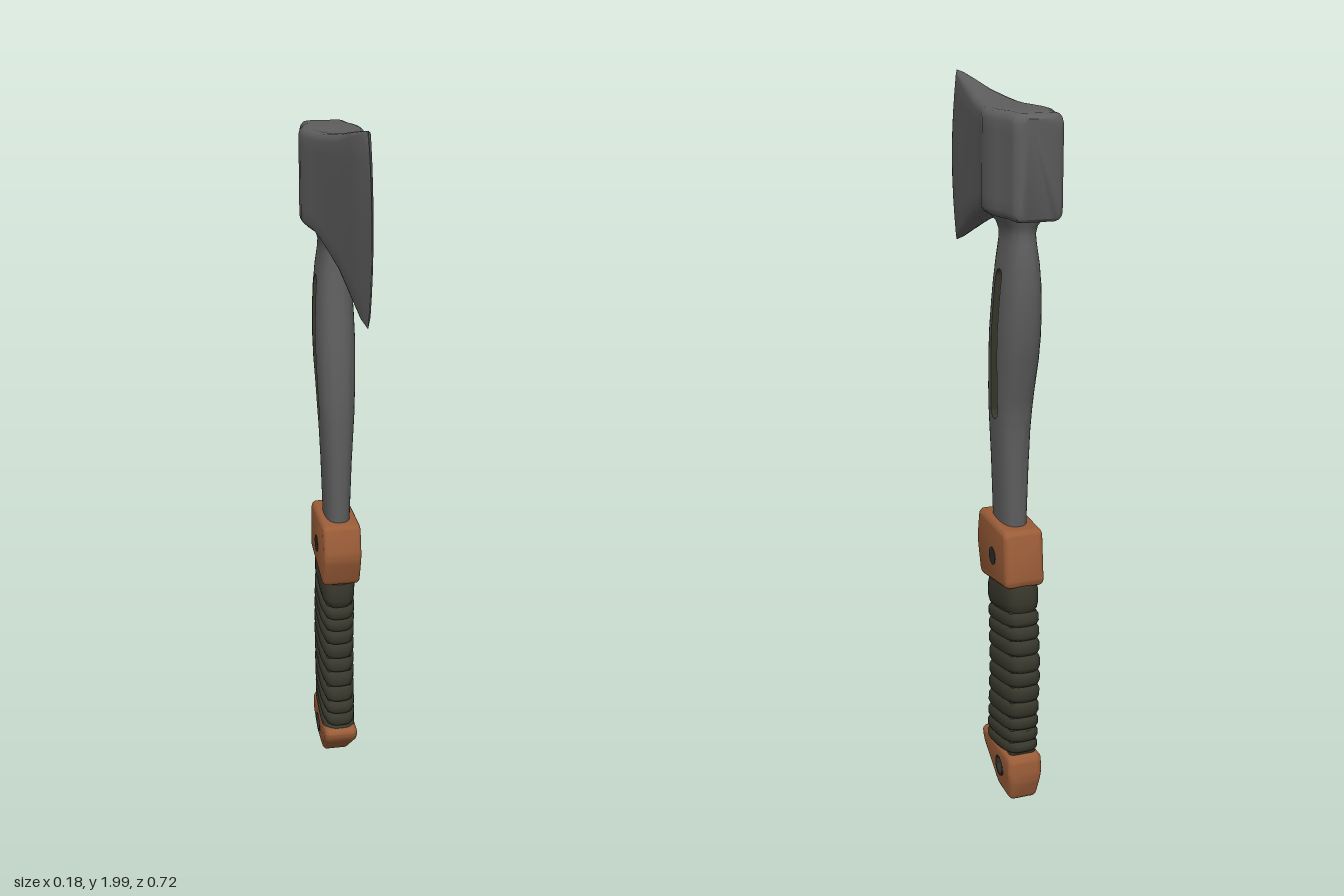
import * as THREE from 'three';
import { toCreasedNormals } from 'three/addons/utils/BufferGeometryUtils.js';

const material = (name, color) => {
  const m = new THREE.MeshStandardMaterial({ color });
  m.name = name;
  return m;
};

// Piecewise linear lookup in [[key, value...], ...]
function lookup(table, k, col = 1) {
  if (k <= table[0][0]) return table[0][col];
  for (let i = 1; i < table.length; i++) {
    const a = table[i - 1], b = table[i];
    if (k <= b[0]) return a[col] + (b[col] - a[col]) * (k - a[0]) / (b[0] - a[0]);
  }
  return table[table.length - 1][col];
}

// Skin through rows of points; closed rows wrap round and get end caps
function loft(rows, closed, crease = 0.75) {
  const n = rows[0].length, idx = [];
  const last = (rows.length - 1) * n;
  for (let i = 0; i < rows.length - 1; i++) {
    for (let j = 0; j < (closed ? n : n - 1); j++) {
      const a = i * n + j, b = i * n + (j + 1) % n;
      idx.push(a, a + n, b, b, a + n, b + n);
    }
  }
  if (closed) {
    for (let j = 1; j < n - 1; j++) idx.push(0, j, j + 1, last, last + j + 1, last + j);
  }
  const g = new THREE.BufferGeometry();
  g.setAttribute('position', new THREE.Float32BufferAttribute(rows.flat(2), 3));
  g.setIndex(idx);
  return toCreasedNormals(g, crease);
}

// Side outline [z, y] with rounded corners
function roundedShape(pts, r) {
  const s = new THREE.Shape(), v = pts.map(p => new THREE.Vector2(...p));
  v.forEach((p, i) => {
    const prev = v[(i + v.length - 1) % v.length], next = v[(i + 1) % v.length];
    const toward = q => p.clone().lerp(q, Math.min(0.45, r / p.distanceTo(q)));
    const a = toward(prev), b = toward(next);
    if (i === 0) s.moveTo(a.x, a.y); else s.lineTo(a.x, a.y);
    s.quadraticCurveTo(p.x, p.y, b.x, b.y);
  });
  s.closePath();
  return s;
}

// Bevelled slab across x from a side outline
function slab(shape, half, bevel) {
  const g = new THREE.ExtrudeGeometry(shape, {
    depth: 2 * (half - bevel), bevelThickness: bevel, bevelSize: bevel,
    bevelOffset: -bevel, bevelSegments: 4, curveSegments: 5,
  });
  g.translate(0, 0, -(half - bevel));
  g.rotateY(-Math.PI / 2);
  return g;
}

// Axe head: sections from the poll to the cutting edge
function headGeometry() {
  // z, half width, top, bottom, forward bulge
  const sections = [
    [-0.355, 0.05, 1.93, 1.69, 0], [-0.347, 0.062, 1.938, 1.682, 0],
    [-0.33, 0.067, 1.942, 1.68, 0], [-0.28, 0.07, 1.943, 1.68, 0],
    [-0.26, 0.078, 1.943, 1.68, 0], [-0.22, 0.087, 1.943, 1.68, 0],
    [-0.18, 0.088, 1.943, 1.68, 0], [-0.15, 0.083, 1.943, 1.678, 0],
    [-0.1, 0.07, 1.944, 1.673, 0], [-0.05, 0.06, 1.947, 1.66, 0],
    [0.02, 0.05, 1.955, 1.64, 0.005], [0.1, 0.037, 1.967, 1.612, 0.01],
    [0.2, 0.024, 1.984, 1.57, 0.02], [0.28, 0.013, 1.996, 1.535, 0.038],
    [0.315, 0.0005, 2.0, 1.522, 0.045],
  ];
  return loft(sections.map(([z, w, top, bottom, bulge]) => {
    const c = Math.min(0.022, w * 0.6), side = [];
    for (let k = 0; k <= 3; k++) {
      const a = k * Math.PI / 6;
      side.push([w - c + c * Math.sin(a), top - c + c * Math.cos(a)]);
    }
    for (let k = 1; k < 8; k++) side.push([w, top - c + (bottom - top + 2 * c) * k / 8]);
    for (let k = 0; k <= 3; k++) {
      const a = k * Math.PI / 6;
      side.push([w - c + c * Math.cos(a), bottom + c - c * Math.sin(a)]);
    }
    const ring = [...side, ...side.map(([x, y]) => [-x, y]).reverse()];
    return ring.map(([x, y]) => {
      const v = 2 * (y - bottom) / (top - bottom) - 1;
      return [x, y, z + bulge * (1 - v * v) - bulge * 0.15 * v];
    });
  }), true);
}

// Shaft in a front and a back half, parting around the slot
function addShaft(group, metal, lining) {
  // y, front z, back z, half width
  const profile = [
    [0.8, -0.065, -0.22, 0.035], [1.0, -0.062, -0.22, 0.042], [1.1, -0.06, -0.221, 0.047],
    [1.15, -0.06, -0.226, 0.05], [1.2, -0.062, -0.236, 0.052], [1.3, -0.071, -0.264, 0.056],
    [1.37, -0.08, -0.277, 0.057], [1.44, -0.09, -0.284, 0.055], [1.5, -0.099, -0.286, 0.052],
    [1.56, -0.107, -0.283, 0.046], [1.61, -0.114, -0.274, 0.039], [1.635, -0.113, -0.268, 0.038],
    [1.655, -0.104, -0.27, 0.044], [1.67, -0.09, -0.278, 0.056], [1.69, -0.085, -0.282, 0.066],
  ];
  const lo = 1.125, hi = 1.54, r = 0.023;
  const ends = [0, 0.001, 0.004, 0.009, 0.015, 0.023];
  const ys = [...profile.map(p => p[0]).filter(y => y < lo || y > hi || (y > lo + r && y < hi - r)),
    ...ends.map(e => lo + e), ...ends.map(e => hi - e)].sort((a, b) => a - b);
  const half = (y, dir) => {
    const zf = lookup(profile, y, 1), zb = lookup(profile, y, 2), w = lookup(profile, y, 3);
    const mid = (zf + zb) / 2, depth = (zf - zb) / 2;
    const d = Math.max(0, 1 - Math.max(0, Math.min(y - lo, hi - y)) / r);
    const gap = r * Math.sqrt(Math.max(0, 1 - d * d));
    const slotZ = lookup([[lo, -0.152], [hi, -0.193]], y) + dir * gap;
    const t0 = dir * (slotZ - mid) / depth, pts = [];
    for (let k = 0; k <= 9; k++) {
      const t = t0 + (1 - t0) * Math.sin(k / 9 * Math.PI / 2);
      const x = w * Math.pow(Math.max(0, 1 - Math.pow(Math.abs(t), 2.6)), 1 / 2.6);
      pts.push([dir * x, y, mid + dir * depth * t]);
    }
    return [...pts, ...pts.slice(0, 9).reverse().map(([x, yy, z]) => [-x, yy, z])];
  };
  for (const [name, dir] of [['Front', 1], ['Back', -1]]) {
    const rows = ys.map(y => half(y, dir));
    add(group, 'shaft' + name, loft(rows, false, 1), metal);
    const wall = rows.filter(p => p[0][1] >= lo - 1e-6 && p[0][1] <= hi + 1e-6).map(p => [p[p.length - 1], p[0]]);
    add(group, 'slotLining' + name, loft(wall, false, 1), lining);
  }
}

// Cord grip: slanted padded bands following the handle's curve
function gripGeometry() {
  // y, front z, back z
  const side = [[0.12, -0.056, -0.283], [0.2, -0.061, -0.287], [0.3, -0.069, -0.296],
    [0.4, -0.074, -0.303], [0.5, -0.07, -0.294], [0.58, -0.065, -0.283], [0.66, -0.063, -0.274]];
  const breaks = [0.14, 0.175, 0.215, 0.255, 0.305, 0.355, 0.4, 0.45, 0.495, 0.535, 0.575, 0.665];
  const pad = [[0, -0.01], [0.1, -0.003], [0.3, 0.001], [0.7, 0.001], [0.9, -0.003]];
  const rows = [];
  for (let b = 0; b < breaks.length - 1; b++) {
    for (const [f, out] of pad) {
      const y = breaks[b] + f * (breaks[b + 1] - breaks[b]);
      const zf = lookup(side, y, 1), zb = lookup(side, y, 2);
      const ring = [];
      for (let k = 0; k < 32; k++) {
        const a = k / 32 * Math.PI * 2;
        const round = c => Math.sign(c) * Math.pow(Math.abs(c), 0.6);
        const dz = ((zf - zb) / 2 + out) * round(Math.sin(a));
        ring.push([(0.051 + out) * round(Math.cos(a)), y - 0.24 * dz, (zf + zb) / 2 + dz]);
      }
      rows.push(ring);
    }
  }
  return loft(rows, true, 0.8);
}

function add(group, name, geometry, mat) {
  const mesh = new THREE.Mesh(geometry, mat);
  mesh.name = name;
  group.add(mesh);
  return mesh;
}

export function createModel() {
  const metal = material('dark steel', 0x5e5e5e);
  const leather = material('brown fittings', 0x9b5d38);
  const cord = material('dark olive cord', 0x37372c);
  const dark = material('blackened metal', 0x2c2c2a);
  const axe = new THREE.Group();
  axe.name = 'axe';

  add(axe, 'axeHead', headGeometry(), metal);
  addShaft(axe, metal, cord);
  add(axe, 'gripWrap', gripGeometry(), cord);

  // Core filling the small gaps at both ends of the wrap
  const core = roundedShape([[-0.075, 0.1], [-0.265, 0.1], [-0.28, 0.4], [-0.255, 0.7], [-0.08, 0.7], [-0.09, 0.4]], 0.01);
  add(axe, 'gripCore', toCreasedNormals(slab(core, 0.038, 0.012), 0.7), cord);

  // Collar with a cross bolt
  const collar = roundedShape([[-0.037, 0.832], [-0.018, 0.735], [-0.052, 0.633], [-0.278, 0.674], [-0.26, 0.832]], 0.022);
  add(axe, 'collar', toCreasedNormals(slab(collar, 0.056, 0.015), 0.7), leather);
  const bolt = add(axe, 'collarBolt', new THREE.CylinderGeometry(0.025, 0.025, 0.115, 24), dark);
  bolt.rotation.z = Math.PI / 2;
  bolt.position.set(0, 0.73, -0.16);

  // Pommel, narrower towards the base, with a straight lanyard hole
  const hole = { z: -0.2, y: 0.09, r: 0.03 };
  const shape = roundedShape([[-0.042, 0.142], [-0.05, 0.105], [-0.165, 0.004], [-0.272, 0.01], [-0.293, 0.085], [-0.287, 0.157]], 0.022);
  shape.holes.push(new THREE.Path().absarc(hole.z, hole.y, hole.r, 0, Math.PI * 2, true));
  const pommel = slab(shape, 0.05, 0.016);
  const p = pommel.attributes.position;
  for (let i = 0; i < p.count; i++) {
    const dz = p.getZ(i) - hole.z, dy = p.getY(i) - hole.y, d = Math.hypot(dz, dy);
    if (d < hole.r + 0.018) {
      p.setY(i, hole.y + dy / d * hole.r);
      p.setZ(i, hole.z + dz / d * hole.r);
    }
    p.setX(i, p.getX(i) * (0.78 + 0.22 * Math.min(1, p.getY(i) / 0.1)));
  }
  add(axe, 'pommel', toCreasedNormals(pommel, 0.7), leather);

  // Grommet lining the lanyard hole
  const ring = [[0.025, -0.05], [0.031, -0.05], [0.031, 0.05], [0.025, 0.05], [0.025, -0.05]];
  const grommet = add(axe, 'lanyardGrommet',
    toCreasedNormals(new THREE.LatheGeometry(ring.map(q => new THREE.Vector2(...q)), 24), 0.7), dark);
  grommet.rotation.z = Math.PI / 2;
  grommet.position.set(0, hole.y, hole.z);

  return axe;
}
